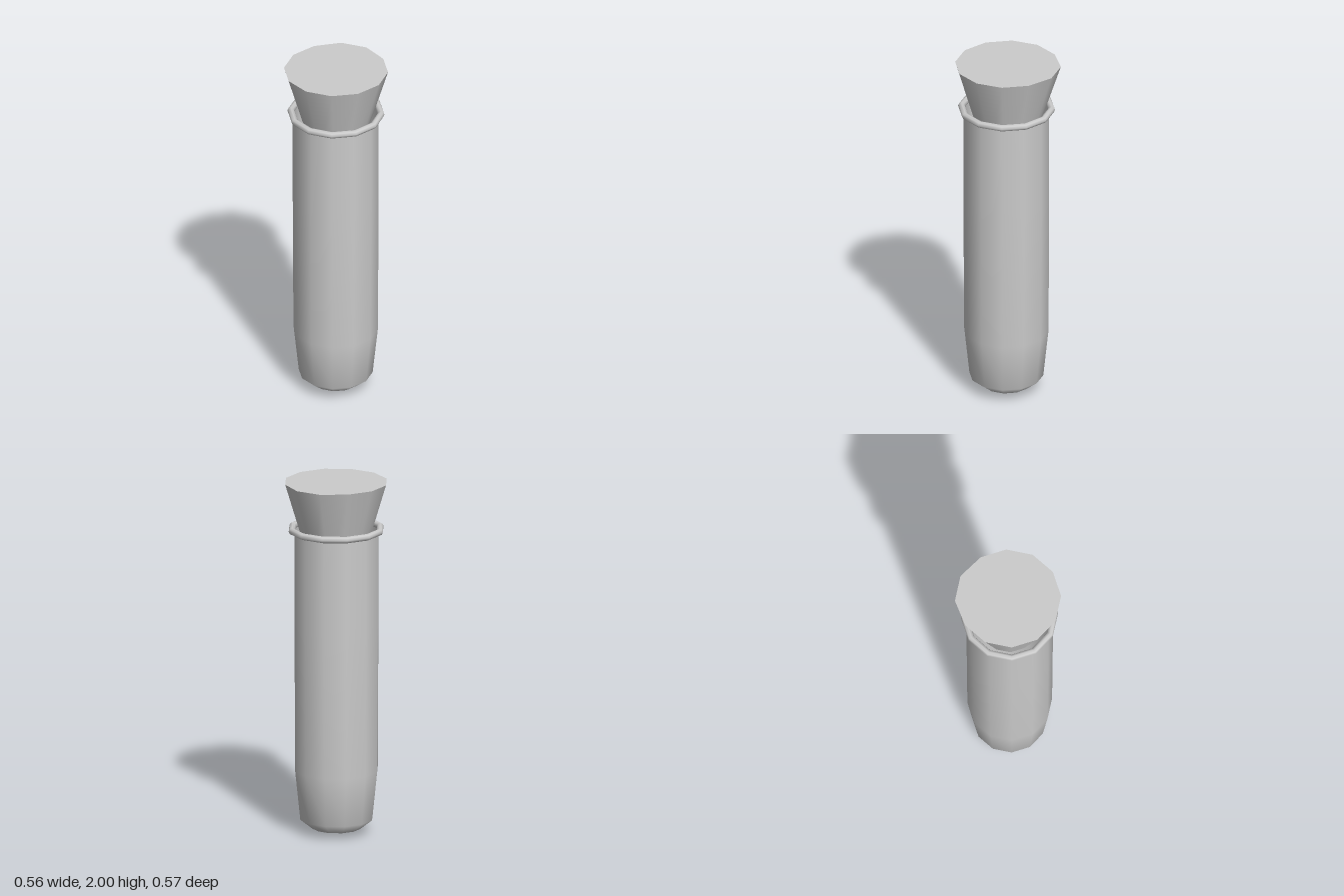
import * as THREE from 'three';

const SIDES = 12;
const TURN = Math.PI / SIDES; // flat sides face the axes

export function createModel() {
  const model = new THREE.Group();
  const material = new THREE.MeshStandardMaterial({ color: 0xcccccc });
  const thin = new THREE.MeshStandardMaterial({ color: 0xcccccc, side: THREE.DoubleSide });

  function add(name, geometry, mat, x, y, z) {
    const mesh = new THREE.Mesh(geometry, mat);
    mesh.name = name;
    mesh.position.set(x, y, z);
    model.add(mesh);
  }

  // Open tube with a rounded, tapering bottom
  const profile = [
    [0, 0], [0.137, 0.028], [0.205, 0.082], [0.234, 0.36], [0.238, 1.2], [0.238, 1.73],
  ].map(([r, y]) => new THREE.Vector2(r, y));
  add('tube', new THREE.LatheGeometry(profile, SIDES).rotateY(TURN), thin, 0.002, 0, 0.007);

  // Rolled lip round the mouth
  const lip = new THREE.TorusGeometry(0.25, 0.019, 8, SIDES).rotateX(Math.PI / 2).rotateY(TURN);
  add('lip', lip, material, 0.002, 1.73, 0.005);

  // Tapered stopper, reaching down into the tube
  const height = 0.45;
  const stopper = new THREE.CylinderGeometry(0.288, 0.152, height, SIDES).rotateY(TURN);
  // Two top corners at the back are pushed out slightly
  const p = stopper.attributes.position;
  for (let i = 0; i < p.count; i++) {
    if (p.getY(i) > 0 && p.getX(i) < -0.05 && p.getZ(i) < -0.15) {
      p.setX(i, p.getX(i) - 0.006);
      p.setZ(i, p.getZ(i) - 0.009);
    }
  }
  add('stopper', stopper, material, 0, 2 - height / 2, 0.003);

  return model;
}
